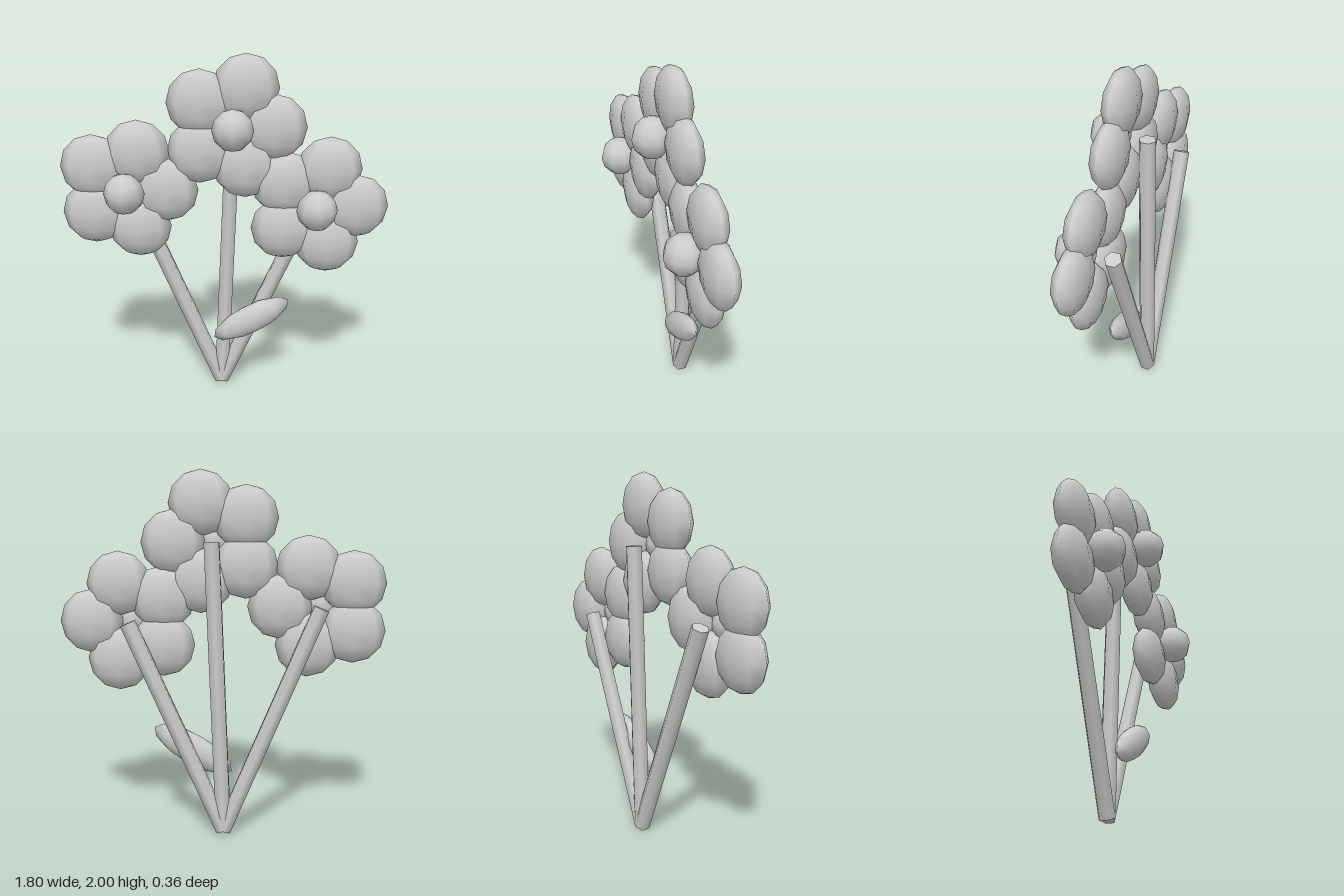
import * as THREE from 'three';

const material = new THREE.MeshStandardMaterial({ color: 0xcccccc });
const ball = new THREE.SphereGeometry(1, 8, 6);

// Low-sided ellipsoid used for petals, flower hearts and the leaf
function ellipsoid(name, position, scale, tilt = 0) {
  const mesh = new THREE.Mesh(ball, material);
  mesh.name = name;
  mesh.position.set(...position);
  mesh.scale.set(...scale);
  mesh.rotation.z = tilt;
  return mesh;
}

// Five petals in a ring around a raised heart
function createFlower(x, y) {
  const flower = new THREE.Group();
  flower.name = 'flower';
  flower.position.set(x, y, 0);
  for (let i = 0; i < 5; i++) {
    const a = (i / 5) * Math.PI * 2;
    flower.add(ellipsoid('petal', [0.221 * Math.cos(a), 0.221 * Math.sin(a), -0.022], [0.178, 0.178, 0.083]));
  }
  flower.add(ellipsoid('flowerHeart', [0, 0, 0.067], [0.112, 0.112, 0.112]));
  return flower;
}

// Six-sided stem from the shared foot to the back of a flower
function createStem(x, y) {
  const foot = new THREE.Vector2(-0.022, 0.016);
  const dx = x - foot.x, dy = y - foot.y;
  const stem = new THREE.Mesh(new THREE.CylinderGeometry(0.047, 0.047, Math.hypot(dx, dy), 6), material);
  stem.name = 'stem';
  stem.position.set(foot.x + dx / 2, foot.y + dy / 2, -0.132);
  stem.rotation.z = -Math.atan2(dx, dy);
  return stem;
}

export function createModel() {
  const bouquet = new THREE.Group();
  bouquet.name = 'bouquet';
  for (const [x, y] of [[-0.545, 1.262], [0.042, 1.612], [0.5, 1.176]]) {
    bouquet.add(createFlower(x, y), createStem(x, y));
  }
  // Single leaf in front of the stems
  bouquet.add(ellipsoid('leaf', [0.153, 0.457, -0.062], [0.25, 0.085, 0.06], 0.52));
  return bouquet;
}
